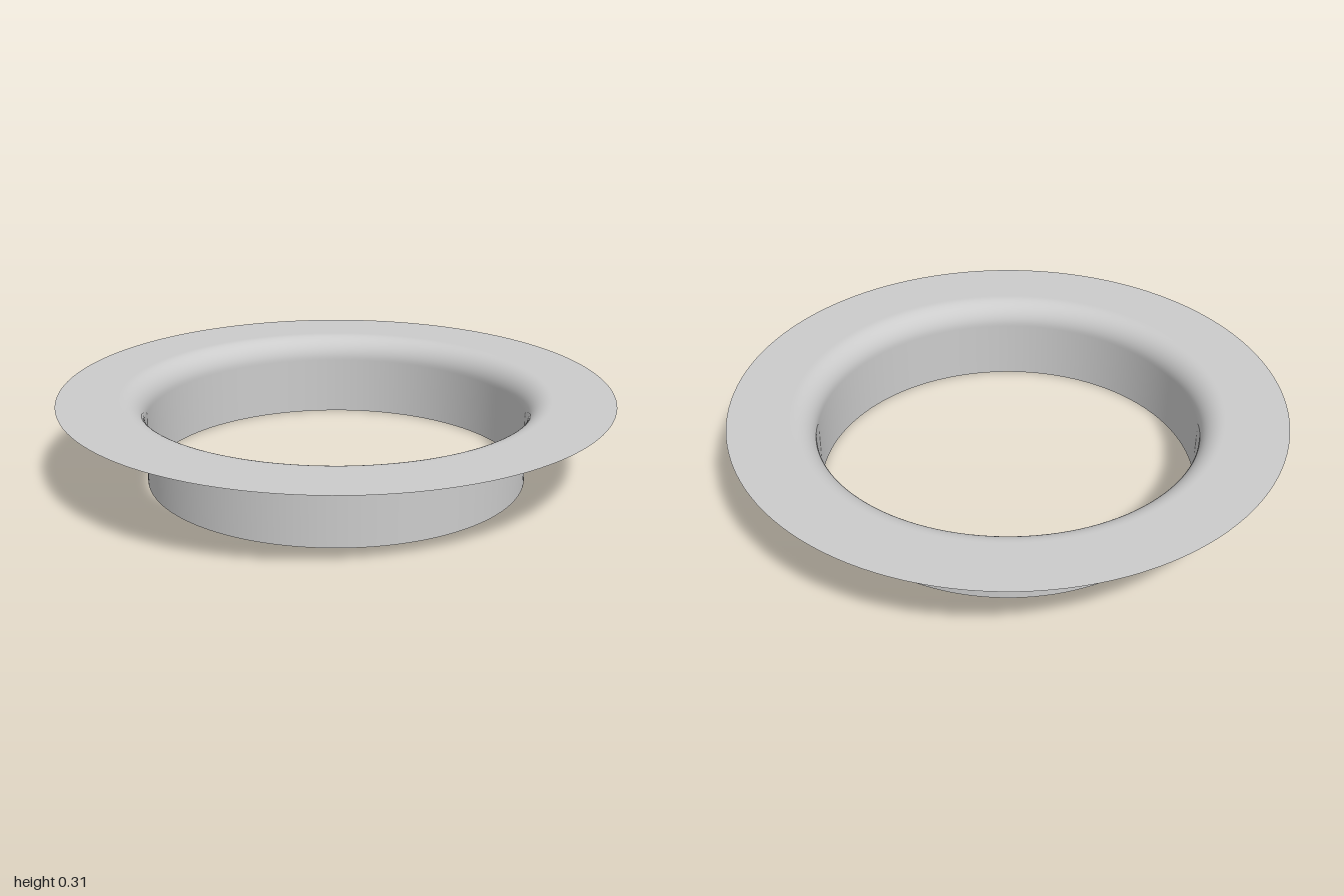
import * as THREE from 'three';

const COLLAR_RADIUS = 0.69;
const RIM_RADIUS = 1;
const HEIGHT = 0.31;
const FILLET = 0.085;

export function createModel() {
  const group = new THREE.Group();
  group.name = 'flangedCollar';

  // Thin sheet profile: straight collar, quarter-round flare, flat flange
  const profile = [
    new THREE.Vector2(COLLAR_RADIUS, 0),
    new THREE.Vector2(COLLAR_RADIUS, HEIGHT - FILLET - 0.005),
  ];
  const steps = 16;
  for (let i = 0; i <= steps; i++) {
    const a = (i / steps) * Math.PI / 2;
    profile.push(new THREE.Vector2(
      COLLAR_RADIUS + FILLET * (1 - Math.cos(a)),
      HEIGHT - FILLET * (1 - Math.sin(a)),
    ));
  }
  profile.push(new THREE.Vector2(COLLAR_RADIUS + FILLET + 0.005, HEIGHT));
  profile.push(new THREE.Vector2(RIM_RADIUS, HEIGHT));

  const material = new THREE.MeshStandardMaterial({ color: 0xcccccc, side: THREE.DoubleSide });
  const collar = new THREE.Mesh(new THREE.LatheGeometry(profile, 128), material);
  collar.name = 'collarWithFlange';
  group.add(collar);

  return group;
}
